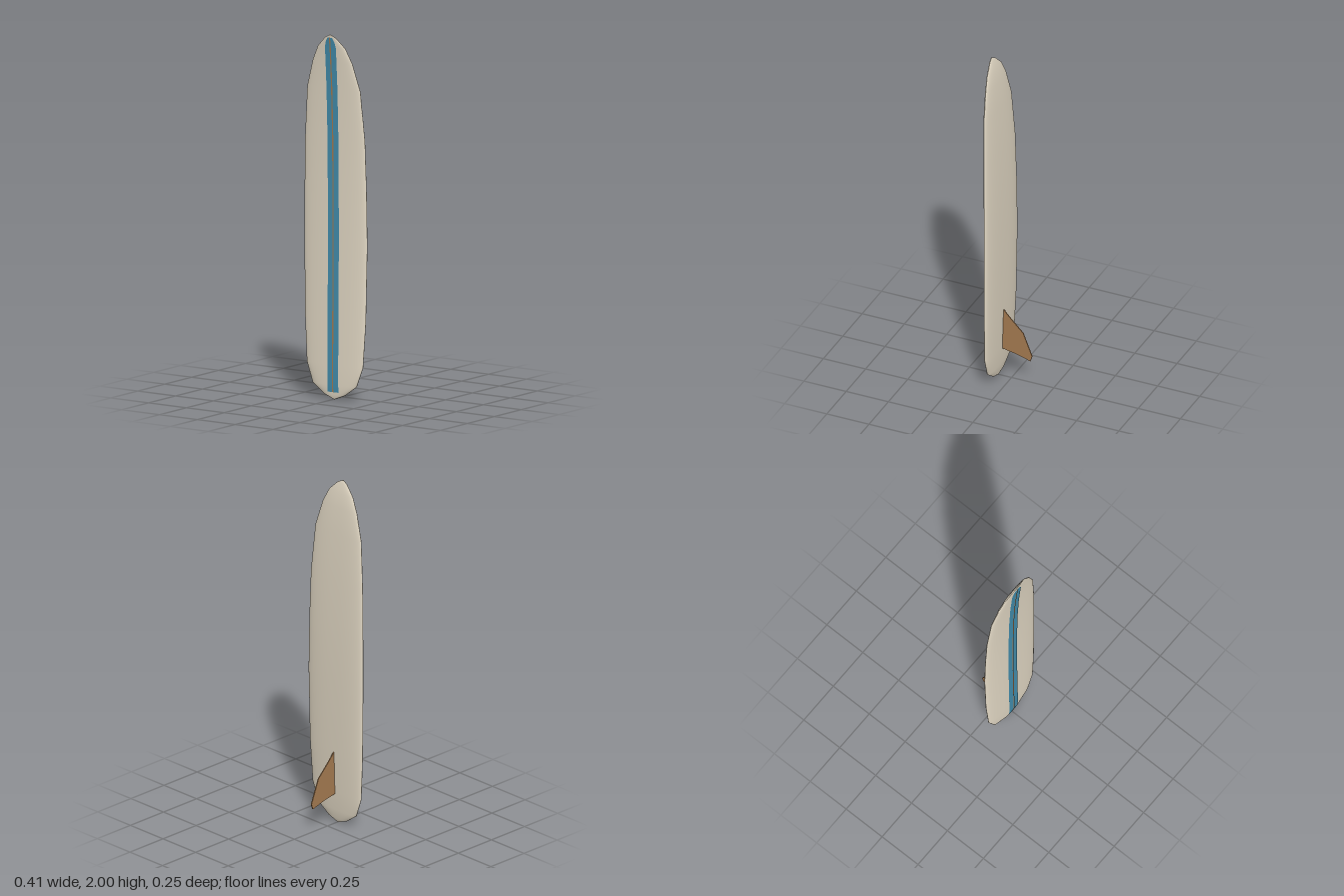
import * as THREE from 'three';

// Stations along the board: height, half width, back z, front z
const STATIONS = [
  [0, 0.004, 0.077, 0.084], [0.025, 0.07, 0.067, 0.09], [0.08, 0.145, 0.059, 0.093],
  [0.19, 0.185, 0.053, 0.093], [0.44, 0.2, 0.046, 0.09], [0.85, 0.207, 0.042, 0.087],
  [1.15, 0.204, 0.046, 0.088], [1.43, 0.197, 0.053, 0.091], [1.7, 0.175, 0.067, 0.1],
  [1.85, 0.13, 0.081, 0.109], [1.93, 0.09, 0.093, 0.115], [1.985, 0.035, 0.108, 0.121],
  [2, 0.004, 0.116, 0.122],
];
const POWER = 2.4; // fullness of the rounded-off section

function stationAt(y) {
  let i = 0;
  while (i < STATIONS.length - 2 && STATIONS[i + 1][0] < y) i++;
  const a = STATIONS[i], b = STATIONS[i + 1];
  const t = (y - a[0]) / (b[0] - a[0]);
  return a.map((v, k) => THREE.MathUtils.lerp(v, b[k], t));
}

function deckZ(x, y) {
  const [, w, back, front] = stationAt(y);
  const u = Math.min(1, Math.abs(x) / w);
  return (back + front) / 2 + ((front - back) / 2) * Math.pow(1 - Math.pow(u, POWER), 1 / POWER);
}

function gridGeometry(positions, rows, cols, flip) {
  const index = [];
  for (let r = 0; r < rows - 1; r++) {
    for (let c = 0; c < cols - 1; c++) {
      const a = r * cols + c, b = a + 1, d = a + cols, e = d + 1;
      if (flip) index.push(a, b, d, b, e, d);
      else index.push(a, d, b, b, d, e);
    }
  }
  const geo = new THREE.BufferGeometry();
  geo.setAttribute('position', new THREE.Float32BufferAttribute(positions, 3));
  geo.setIndex(index);
  return geo;
}

// Closed loft through the stations
function boardGeometry() {
  const sides = 40, pos = [];
  const pow = (v) => Math.sign(v) * Math.pow(Math.abs(v), 2 / POWER);
  for (const [y, w, back, front] of STATIONS) {
    for (let i = 0; i < sides; i++) {
      const a = (i / sides) * Math.PI * 2;
      pos.push(w * pow(Math.cos(a)), y, (back + front) / 2 + ((front - back) / 2) * pow(Math.sin(a)));
    }
  }
  const index = [];
  const last = (STATIONS.length - 1) * sides;
  for (let r = 0; r < STATIONS.length - 1; r++) {
    for (let i = 0; i < sides; i++) {
      const j = (i + 1) % sides;
      const a = r * sides + i, b = r * sides + j;
      index.push(a, a + sides, b, b, a + sides, b + sides);
    }
  }
  for (let i = 1; i < sides - 1; i++) {
    index.push(0, i, i + 1);
    index.push(last, last + i + 1, last + i);
  }
  const geo = new THREE.BufferGeometry();
  geo.setAttribute('position', new THREE.Float32BufferAttribute(pos, 3));
  geo.setIndex(index);
  geo.computeVertexNormals();
  return geo;
}

// Thin painted strip that follows the deck; outline is [height, half width]
function stripGeometry(outline, lift) {
  const pos = [], cols = 5;
  for (const [y, half] of outline) {
    for (let c = 0; c < cols; c++) {
      const x = half * ((2 * c) / (cols - 1) - 1);
      pos.push(x, y, deckZ(x, y) + lift);
    }
  }
  const geo = gridGeometry(pos, outline.length, cols, true);
  geo.computeVertexNormals();
  return geo;
}

export function createModel() {
  const cream = new THREE.MeshStandardMaterial({ color: 0xe6dcc8 });
  cream.name = 'cream';
  const blue = new THREE.MeshStandardMaterial({ color: 0x4490b0, side: THREE.DoubleSide });
  blue.name = 'blue';
  const wood = new THREE.MeshStandardMaterial({ color: 0xa67c52, side: THREE.DoubleSide });
  wood.name = 'wood';

  const group = new THREE.Group();
  group.name = 'surfboard';
  const add = (name, geo, mat) => {
    const mesh = new THREE.Mesh(geo, mat);
    mesh.name = name;
    group.add(mesh);
    return mesh;
  };

  add('board', boardGeometry(), cream);

  // Centre stripe narrows at the nose; the wooden stringer runs along it
  const heights = STATIONS.map((s) => s[0]).filter((y) => y > 0.05 && y < 1.93);
  const stripe = [0.04, ...heights].map((y) => [y, 0.036]);
  stripe.push([1.93, 0.036], [1.96, 0.029], [1.985, 0.015]);
  add('stripe', stripGeometry(stripe, 0.002), blue);
  const stringer = [0.04, ...heights, 1.93, 1.985].map((y) => [y, 0.004]);
  add('stringer', stripGeometry(stringer, 0.004), wood);

  // Raked fin on the back, drawn as (-z, y) and turned to face sideways
  const outline = [[-0.055, 0.43], [0.0, 0.37], [0.07, 0.3], [0.123, 0.165], [0.112, 0.134], [0.03, 0.158], [-0.06, 0.175]];
  const shape = new THREE.Shape(outline.map(([u, v]) => new THREE.Vector2(u, v)));
  const finGeo = new THREE.ExtrudeGeometry(shape, { depth: 0.006, bevelEnabled: false });
  finGeo.translate(0, 0, -0.003);
  finGeo.rotateY(Math.PI / 2);
  add('fin', finGeo, wood);

  return group;
}
